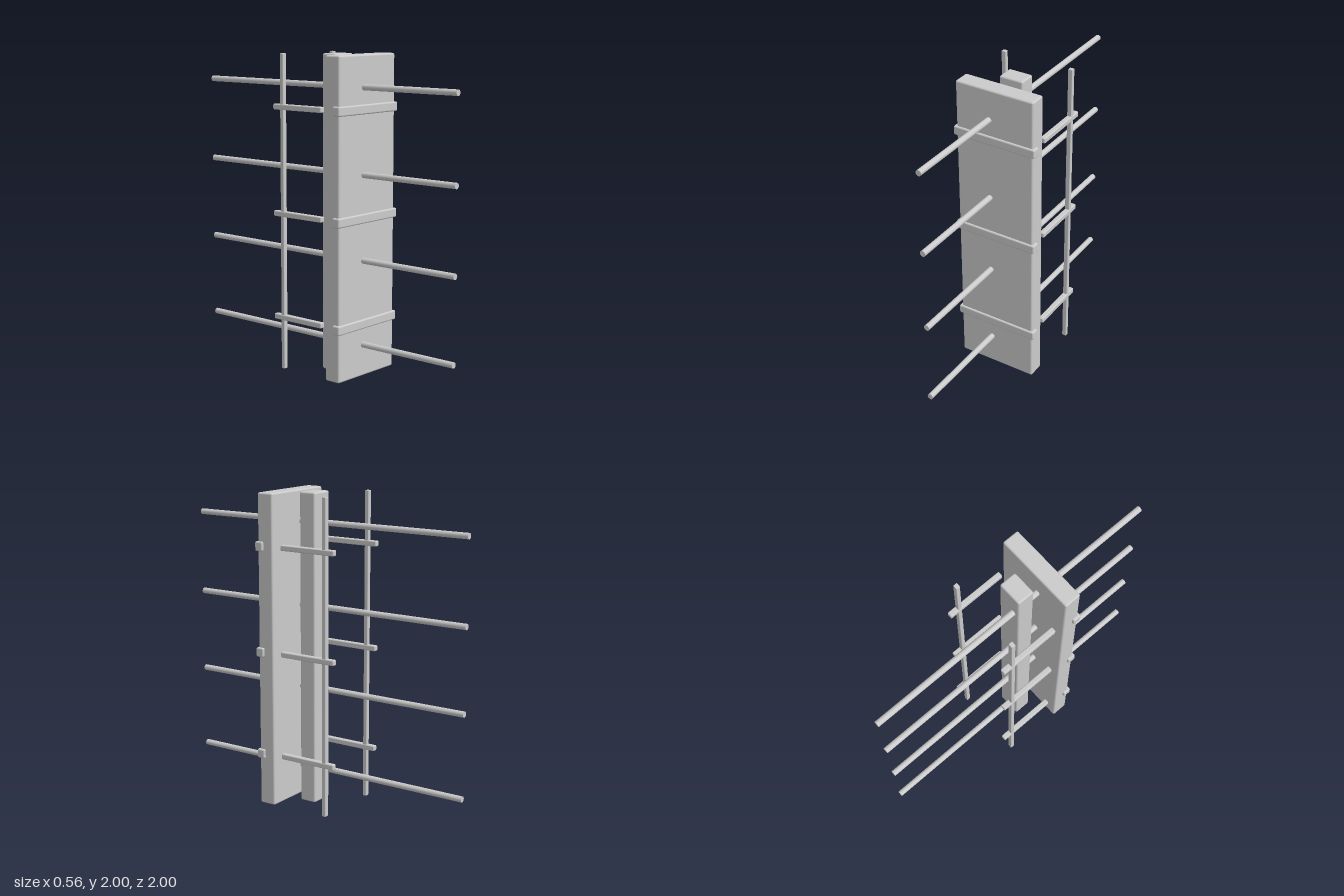
import * as THREE from 'three';
import { RoundedBoxGeometry } from 'three/addons/geometries/RoundedBoxGeometry.js';

export function createModel() {
  const model = new THREE.Group();
  const material = new THREE.MeshStandardMaterial({ color: 0xcccccc });

  const add = (name, geometry, x, y, z) => {
    const mesh = new THREE.Mesh(geometry, material);
    mesh.name = name;
    mesh.position.set(x, y, z);
    model.add(mesh);
    return mesh;
  };
  const box = (w, h, d, bevel) => new RoundedBoxGeometry(w, h, d, 2, bevel);

  // Wide front panel and the narrow post behind it
  add('frontPanel', box(0.53, 2, 0.112, 0.012), 0, 1, 0.25);
  add('centrePost', box(0.16, 2, 0.114, 0.012), 0, 1, 0.065);

  // Long rods running front to back through the panel and post
  const rod = new THREE.CylinderGeometry(0.019, 0.019, 2, 20).rotateX(Math.PI / 2);
  for (const y of [0.203, 0.737, 1.27, 1.804]) add('throughRod', rod, -0.036, y, 0);

  // Straps across the panel, and side brackets at the same heights
  const strap = box(0.562, 0.06, 0.056, 0.01);
  const bracket = box(0.036, 0.036, 0.396, 0.008);
  for (const y of [0.335, 1, 1.67]) {
    add('strap', strap, 0, y, 0.29);
    for (const side of [-1, 1]) add('sideBracket', bracket, side * 0.233, y, -0.051);
  }

  // Thin uprights crossing the brackets
  const upright = box(0.03, 2, 0.027, 0.004);
  for (const side of [-1, 1]) add('upright', upright, side * 0.233, 1, -0.177);

  return model;
}
